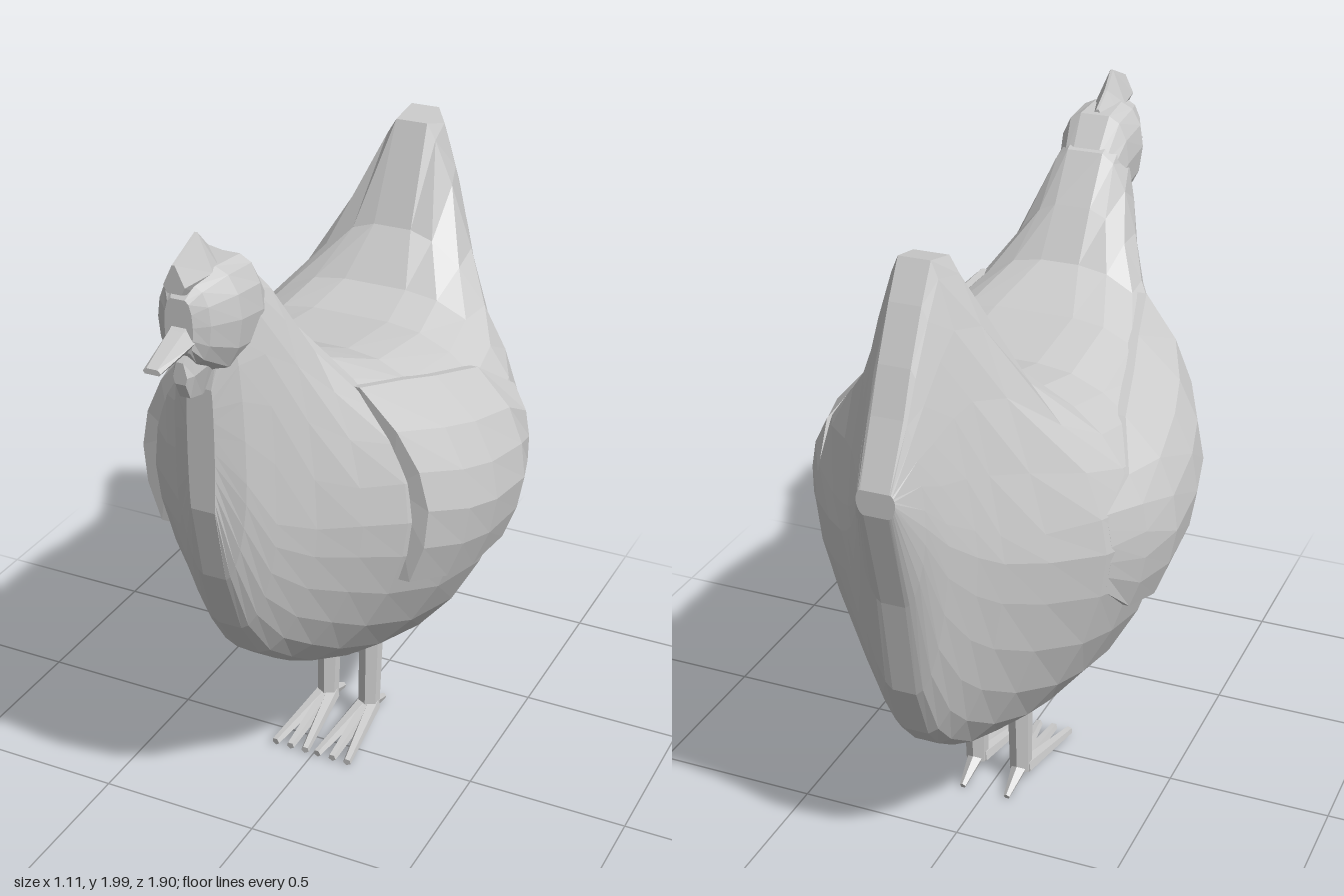
import * as THREE from 'three';

const material = new THREE.MeshStandardMaterial({ color: 0xcccccc, flatShading: true });

// Half outline of a slice, bottom to top: widest (w) at ym, narrowing to wb below and wt above.
// Exponents: 1 is elliptical, 2 is straight.
function halfSection([, yb, yt, ym, w, wt, eTop = 1], wb, eLow, n) {
  const pts = [];
  for (let i = 0; i <= n; i++) {
    const a = (i / n) * Math.PI / 2;
    pts.push([wb + (w - wb) * Math.sin(a) ** eLow, ym - (ym - yb) * Math.cos(a) ** eLow]);
  }
  for (let i = 1; i <= n; i++) {
    const a = (i / n) * Math.PI / 2;
    pts.push([wt + (w - wt) * Math.max(0, Math.cos(a)) ** eTop, ym + (yt - ym) * Math.sin(a) ** eTop]);
  }
  return pts;
}

// Closed, capped skin over rings that run counter-clockwise seen from +z, ordered by rising z.
function loft(name, rings) {
  const n = rings[0].length, pos = rings.flat(2), index = [];
  const cap = (ring) => {
    const c = [0, 0, 0];
    ring.forEach((p) => p.forEach((v, k) => { c[k] += v / n; }));
    pos.push(...c);
    return pos.length / 3 - 1;
  };
  for (let i = 0; i < rings.length - 1; i++) {
    for (let j = 0; j < n; j++) {
      const k = (j + 1) % n, a = i * n + j, b = i * n + k;
      index.push(a, b, b + n, a, b + n, a + n);
    }
  }
  const back = cap(rings[0]), front = cap(rings.at(-1)), last = (rings.length - 1) * n;
  for (let j = 0; j < n; j++) {
    const k = (j + 1) % n;
    index.push(back, k, j, front, last + j, last + k);
  }
  const geo = new THREE.BufferGeometry();
  geo.setAttribute('position', new THREE.Float32BufferAttribute(pos, 3));
  geo.setIndex(index);
  geo.computeVertexNormals();
  const mesh = new THREE.Mesh(geo, material);
  mesh.name = name;
  return mesh;
}

// Symmetric part from slices [z, yBottom, yTop, yWidest, width, topWidth, topExponent].
function slicedPart(name, slices, wb, eLow, n) {
  return loft(name, slices.map((s) => {
    const half = halfSection(s, wb, eLow, n);
    return [
      ...half.map(([x, y]) => [x, y, s[0]]),
      ...half.slice().reverse().map(([x, y]) => [-x, y, s[0]]),
    ];
  }));
}

// Tail, trunk, breast and neck
const BODY = [
  [-0.95, 1.30, 1.37, 1.34, 0.055, 0.04, 1],
  [-0.87, 1.00, 1.54, 1.25, 0.10, 0.045, 1.3],
  [-0.82, 0.70, 1.66, 1.18, 0.14, 0.045, 1.5],
  [-0.75, 0.53, 1.80, 1.12, 0.19, 0.045, 1.6],
  [-0.69, 0.46, 1.90, 1.08, 0.24, 0.045, 1.7],
  [-0.59, 0.39, 1.88, 1.05, 0.33, 0.05, 1.7],
  [-0.46, 0.35, 1.59, 1.03, 0.44, 0.06, 1.25],
  [-0.34, 0.33, 1.45, 1.02, 0.49, 0.10, 1],
  [-0.17, 0.30, 1.42, 1.00, 0.51, 0.12, 1],
  [0.10, 0.40, 1.45, 1.02, 0.485, 0.12, 1],
  [0.30, 0.50, 1.53, 1.06, 0.40, 0.06, 1],
  [0.40, 0.57, 1.67, 1.08, 0.31, 0.055, 1.2],
  [0.50, 0.65, 1.81, 1.10, 0.22, 0.055, 1.15],
  [0.60, 0.79, 1.85, 1.15, 0.15, 0.06, 1],
  [0.68, 0.99, 1.78, 1.30, 0.105, 0.05, 1],
  [0.73, 1.22, 1.58, 1.40, 0.04, 0.035, 1],
];
const BODY_SHAPE = [0.035, 1.2, 6];

// Half width of the body at any depth and height
function bodyWidth(z, y) {
  const i = Math.max(1, BODY.findIndex((s) => s[0] >= z));
  const a = BODY[i - 1], b = BODY[i], t = (z - a[0]) / (b[0] - a[0]);
  const half = halfSection(a.map((v, k) => THREE.MathUtils.lerp(v, b[k], t)), ...BODY_SHAPE);
  const j = half.findIndex((p) => p[1] >= y);
  if (j < 1) return half[j < 0 ? half.length - 1 : 0][0];
  const [p, q] = [half[j - 1], half[j]];
  return THREE.MathUtils.lerp(p[0], q[0], (y - p[1]) / (q[1] - p[1]));
}

// Folded wing: a thick shell following the flank, fading out to the rear. [z, yBottom, yTop, thickness]
const WING = [
  [-0.44, 0.90, 1.14, 0.0],
  [-0.34, 0.81, 1.22, 0.025],
  [-0.2, 0.78, 1.32, 0.045],
  [0, 0.79, 1.37, 0.05],
  [0.14, 0.82, 1.41, 0.05],
  [0.28, 0.86, 1.46, 0.045],
];
function wing(name, side) {
  const levels = [0.75, 0.95, 1.05, 1, 0.9, 0.5];
  return loft(name, WING.map(([z, y0, y1, thick]) => {
    const outer = [], inner = [];
    levels.forEach((f, i) => {
      const t = i / (levels.length - 1), y = THREE.MathUtils.lerp(y0, y1, t);
      const zz = z + (z > 0.2 ? 0.05 * Math.max(0, t - 0.5) * 2 : 0);
      const x = bodyWidth(zz, y);
      outer.push([side * (x + thick * f), y, zz]);
      inner.unshift([side * (x - 0.05), y, zz]);
    });
    const ring = [...outer, ...inner];
    return side > 0 ? ring : ring.reverse();
  }));
}

// Tapered limb between two points
function limb(name, from, to, r0, r1, sides = 5) {
  const a = new THREE.Vector3(...from), b = new THREE.Vector3(...to);
  const mesh = new THREE.Mesh(new THREE.CylinderGeometry(r1, r0, a.distanceTo(b), sides), material);
  mesh.name = name;
  mesh.position.copy(a).add(b).multiplyScalar(0.5);
  mesh.quaternion.setFromUnitVectors(new THREE.Vector3(0, 1, 0), b.sub(a).normalize());
  return mesh;
}

// Shank, three front toes and a hind toe
function leg(name, side) {
  const g = new THREE.Group();
  g.name = name;
  const x = side * 0.073;
  g.add(limb('shank', [x, 0.05, -0.175], [x, 0.36, -0.185], 0.034, 0.039, 6));
  for (const spread of [-0.052, 0, 0.052]) {
    g.add(limb('frontToe', [x + spread * 0.25, 0.06, -0.18], [x + spread, 0.025, 0.1], 0.025, 0.013));
  }
  g.add(limb('hindToe', [x, 0.06, -0.18], [x, 0.015, -0.29], 0.026, 0.01));
  return g;
}

export function createModel() {
  const model = new THREE.Group();
  model.name = 'hen';

  model.add(slicedPart('body', BODY, ...BODY_SHAPE));
  model.add(slicedPart('head', [
    [0.50, 1.60, 1.80, 1.70, 0.09, 0.04],
    [0.58, 1.60, 1.90, 1.76, 0.11, 0.045],
    [0.70, 1.62, 1.91, 1.78, 0.113, 0.04],
    [0.79, 1.68, 1.89, 1.79, 0.075, 0.03],
    [0.82, 1.72, 1.86, 1.79, 0.04, 0.02],
  ], 0.03, 1, 3));
  model.add(slicedPart('comb', [
    [0.60, 1.83, 1.91, 1.85, 0.04, 0.004, 2],
    [0.67, 1.84, 1.95, 1.88, 0.045, 0.004, 2],
    [0.72, 1.84, 2.00, 1.90, 0.045, 0.004, 2],
    [0.835, 1.88, 1.955, 1.90, 0.03, 0.004, 2],
  ], 0.02, 1, 1));
  model.add(slicedPart('beak', [
    [0.76, 1.71, 1.82, 1.76, 0.05, 0.025],
    [0.83, 1.72, 1.78, 1.745, 0.04, 0.02],
    [0.955, 1.715, 1.73, 1.722, 0.025, 0.015],
  ], 0.02, 1, 1));
  model.add(slicedPart('wattle', [
    [0.66, 1.57, 1.74, 1.66, 0.05, 0.04],
    [0.74, 1.57, 1.73, 1.66, 0.04, 0.03],
    [0.80, 1.585, 1.72, 1.65, 0.03, 0.02],
    [0.822, 1.63, 1.69, 1.65, 0.02, 0.01],
  ], 0.015, 1, 1));

  model.add(wing('leftWing', 1), wing('rightWing', -1));
  model.add(leg('leftLeg', 1), leg('rightLeg', -1));
  return model;
}
